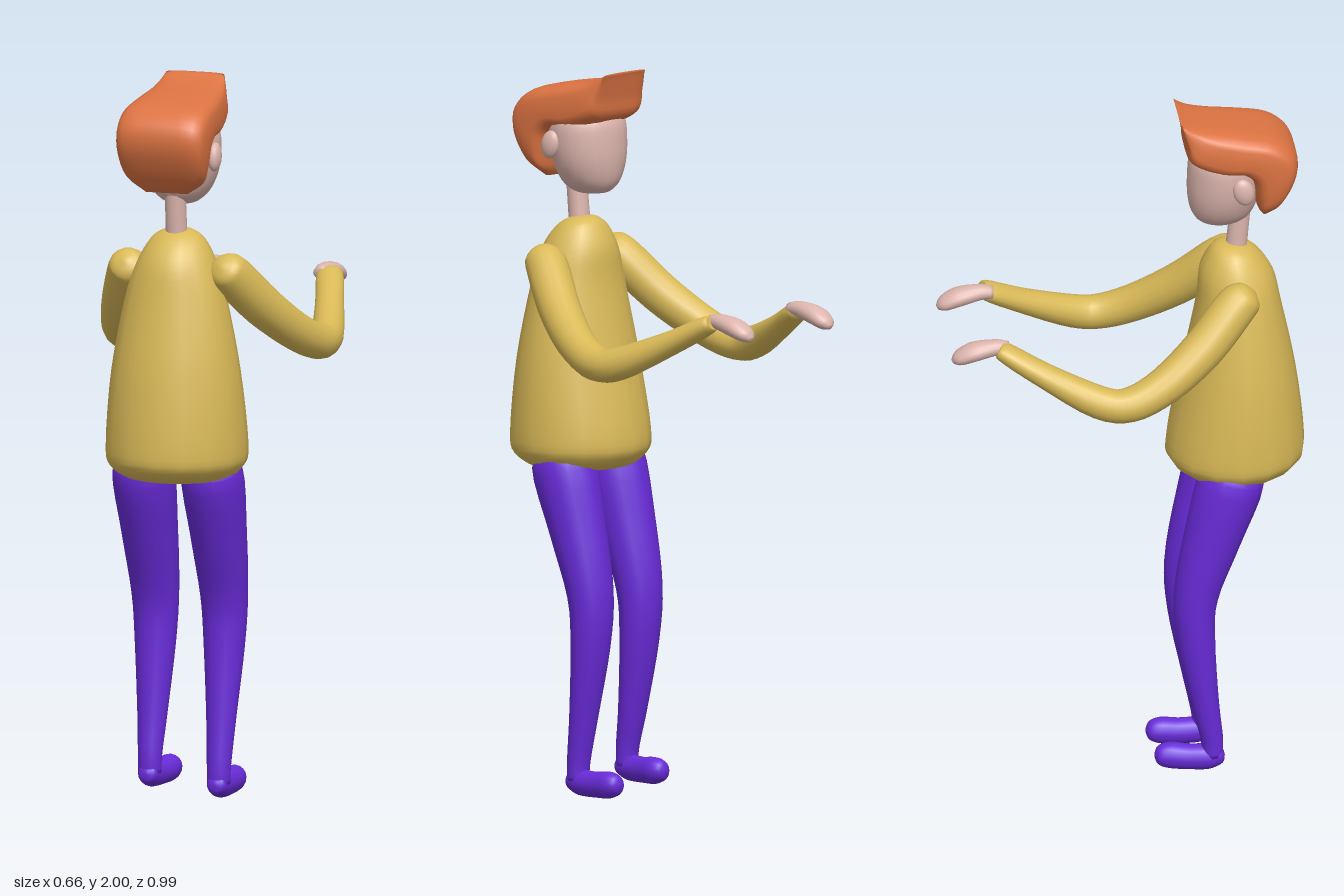
import * as THREE from 'three';

const V = (x, y, z) => new THREE.Vector3(x, y, z);
const material = (name, color) => Object.assign(new THREE.MeshStandardMaterial({ color }), { name });

// Smooth closed skin over sections {c: centre, u, v: half axes}; power > 2 squares the outline
function loft(keys, { sides = 16, steps = 4, power = 2 } = {}) {
  const curve = (k) => new THREE.CatmullRomCurve3(keys.map((s) => s[k]), false, 'catmullrom', 0.5);
  const [cc, cu, cv] = ['c', 'u', 'v'].map(curve);
  const rows = (keys.length - 1) * steps;
  const pos = [], idx = [];
  const shape = (n) => Math.sign(n) * Math.pow(Math.abs(n), 2 / power);
  for (let i = 0; i <= rows; i++) {
    const t = i / rows, c = cc.getPoint(t), u = cu.getPoint(t), v = cv.getPoint(t);
    for (let j = 0; j < sides; j++) {
      const a = (j / sides) * Math.PI * 2;
      const p = c.clone().addScaledVector(u, shape(Math.cos(a))).addScaledVector(v, shape(Math.sin(a)));
      pos.push(p.x, p.y, p.z);
      const k = (j + 1) % sides, r = i * sides;
      if (i < rows) idx.push(r + j, r + k, r + sides + j, r + k, r + sides + k, r + sides + j);
    }
  }
  // End caps
  const first = pos.length / 3, last = first + 1, r = rows * sides;
  pos.push(...keys[0].c.toArray(), ...keys[keys.length - 1].c.toArray());
  for (let j = 0; j < sides; j++) {
    const k = (j + 1) % sides;
    idx.push(first, k, j, last, r + j, r + k);
  }
  // Turn the faces outward if the enclosed volume is negative
  let volume = 0;
  const at = (i) => V(pos[i * 3], pos[i * 3 + 1], pos[i * 3 + 2]);
  for (let i = 0; i < idx.length; i += 3) volume += at(idx[i]).dot(at(idx[i + 1]).cross(at(idx[i + 2])));
  if (volume < 0) idx.reverse();
  const g = new THREE.BufferGeometry();
  g.setAttribute('position', new THREE.Float32BufferAttribute(pos, 3));
  g.setIndex(idx);
  g.computeVertexNormals();
  return g;
}

// Upright sections from rows [y, z, halfWidth, halfDepth]
const upright = (x, rows) => rows.map(([y, z, rx, rz]) => ({ c: V(x, y, z), u: V(rx, 0, 0), v: V(0, 0, rz) }));

// Limb sections from rows [x, y, z, radiusAcross, radiusThrough], square to the path
function limb(rows) {
  const pts = rows.map(([x, y, z]) => V(x, y, z));
  return rows.map(([, , , a, b = a], i) => {
    const t = pts[Math.min(i + 1, pts.length - 1)].clone().sub(pts[Math.max(i - 1, 0)]).normalize();
    const u = V(1, 0, 0).addScaledVector(t, -t.x).normalize();
    const v = t.clone().cross(u);
    return { c: pts[i], u: u.multiplyScalar(a), v: v.multiplyScalar(b) };
  });
}

export function createModel() {
  const model = new THREE.Group();
  model.name = 'standingPerson';
  const shirt = material('mustardShirt', 0xd9b957);
  const trousers = material('purpleTrousers', 0x682bd8);
  const skin = material('paleSkin', 0xdcb5ad);
  const hair = material('gingerHair', 0xdc7342);
  const add = (name, geometry, mat) => {
    const m = new THREE.Mesh(geometry, mat);
    m.name = name;
    model.add(m);
    return m;
  };
  const mid = -0.012;

  // Jumper body
  add('torso', loft(upright(mid, [
    [0.893, 0.30, 0.02, 0.02], [0.90, 0.30, 0.13, 0.12], [0.935, 0.302, 0.185, 0.18],
    [1.0, 0.303, 0.196, 0.19], [1.2, 0.312, 0.18, 0.158], [1.4, 0.312, 0.143, 0.118],
    [1.5, 0.305, 0.11, 0.102], [1.56, 0.297, 0.077, 0.069], [1.585, 0.29, 0.042, 0.038],
    [1.592, 0.29, 0.008, 0.008],
  ])), shirt);

  // Neck and head
  add('neck', loft(limb([[mid, 1.56, 0.305, 0.03], [mid, 1.64, 0.313, 0.029], [mid, 1.74, 0.322, 0.029]])), skin);
  add('head', loft(upright(mid, [
    [1.654, 0.262, 0.015, 0.015], [1.662, 0.262, 0.045, 0.055], [1.69, 0.266, 0.077, 0.083],
    [1.74, 0.27, 0.102, 0.098], [1.80, 0.276, 0.113, 0.105], [1.86, 0.28, 0.11, 0.1],
    [1.90, 0.285, 0.075, 0.07], [1.91, 0.285, 0.01, 0.01],
  ]), { sides: 20 }), skin);

  // Swept hair, rows of [outer z, outer y, inner z, inner y, halfWidth] from quiff to nape
  const hairRows = [
    [0.143, 2.0, 0.148, 1.985, 0.085], [0.185, 1.982, 0.16, 1.925, 0.1], [0.245, 1.97, 0.172, 1.872, 0.113],
    [0.315, 1.96, 0.25, 1.838, 0.123], [0.405, 1.94, 0.31, 1.835, 0.129], [0.46, 1.895, 0.34, 1.81, 0.13],
    [0.467, 1.832, 0.35, 1.76, 0.125], [0.432, 1.755, 0.357, 1.722, 0.108], [0.388, 1.70, 0.37, 1.698, 0.06],
  ];
  add('hair', loft(hairRows.map(([oz, oy, iz, iy, w]) => ({
    c: V(-0.015, (oy + iy) / 2, (oz + iz) / 2),
    u: V(w, 0, 0),
    v: V(0, (oy - iy) / 2, (oz - iz) / 2),
  })), { sides: 28, power: 3.6 }), hair);

  for (const side of [-1, 1]) {
    const label = side > 0 ? 'left' : 'right';
    const x = (d, z) => 0.002 - 0.035 * z + side * d;

    // Ear
    const ear = add(label + 'Ear', new THREE.SphereGeometry(1, 16, 12), skin);
    ear.scale.set(0.018, 0.04, 0.029);
    ear.position.set(mid + side * 0.113, 1.795, 0.313);
    ear.rotation.x = -0.25;

    // Bent sleeve from shoulder to wrist
    add(label + 'Arm', loft(limb([
      [0.138, 1.502, 0.338, 0.01], [0.14, 1.492, 0.325, 0.043], [0.15, 1.465, 0.288, 0.058],
      [0.205, 1.365, 0.19, 0.058], [0.255, 1.285, 0.08, 0.053], [0.281, 1.243, -0.02, 0.049],
      [0.273, 1.25, -0.105, 0.046], [0.223, 1.315, -0.25, 0.04, 0.034],
      [0.183, 1.372, -0.355, 0.037, 0.026], [0.181, 1.377, -0.366, 0.012, 0.01],
    ].map(([d, y, z, ...r]) => [x(d, z), y, z, ...r]))), shirt);

    // Mitten hand
    add(label + 'Hand', loft(limb([
      [0.165, 1.378, -0.34, 0.02, 0.017], [0.165, 1.38, -0.375, 0.026, 0.022],
      [0.164, 1.369, -0.435, 0.035, 0.026], [0.162, 1.352, -0.475, 0.029, 0.02],
      [0.161, 1.342, -0.491, 0.012, 0.009], [0.161, 1.341, -0.494, 0.003, 0.003],
    ].map(([d, y, z, ...r]) => [x(d, z) - 0.005, y, z, ...r]))), skin);

    // Trouser leg with a slight knee bend, right foot lifted a little
    const lift = side < 0 ? 0.02 : 0;
    const lx = -0.018 + side * 0.1;
    add(label + 'Leg', loft(limb([
      [lx, 0.945, 0.285, 0.03], [lx, 0.92, 0.283, 0.083, 0.09], [lx, 0.735, 0.227, 0.077, 0.08],
      [lx, 0.56, 0.182, 0.066, 0.062], [lx, 0.42, 0.182, 0.057, 0.053], [lx, 0.23, 0.206, 0.042, 0.039],
      [lx, 0.10 + lift, 0.225, 0.034, 0.031], [lx, 0.045 + lift, 0.227, 0.032, 0.03],
    ])), trousers);

    // Foot
    const toe = side < 0 ? 0.016 : 0.002;
    add(label + 'Foot', loft(limb([
      [lx, 0.052, 0.26, 0.006], [lx, 0.05, 0.25, 0.026], [lx, 0.044, 0.215, 0.032, 0.036],
      [lx + toe / 2, 0.043, 0.16, 0.033, 0.036], [lx + toe, 0.047, 0.11, 0.034, 0.037],
      [lx + toe, 0.049, 0.08, 0.025, 0.026], [lx + toe, 0.05, 0.07, 0.006],
    ].map(([a, y, ...r]) => [a, y + lift - 0.004, ...r]))), trousers);
  }
  return model;
}
